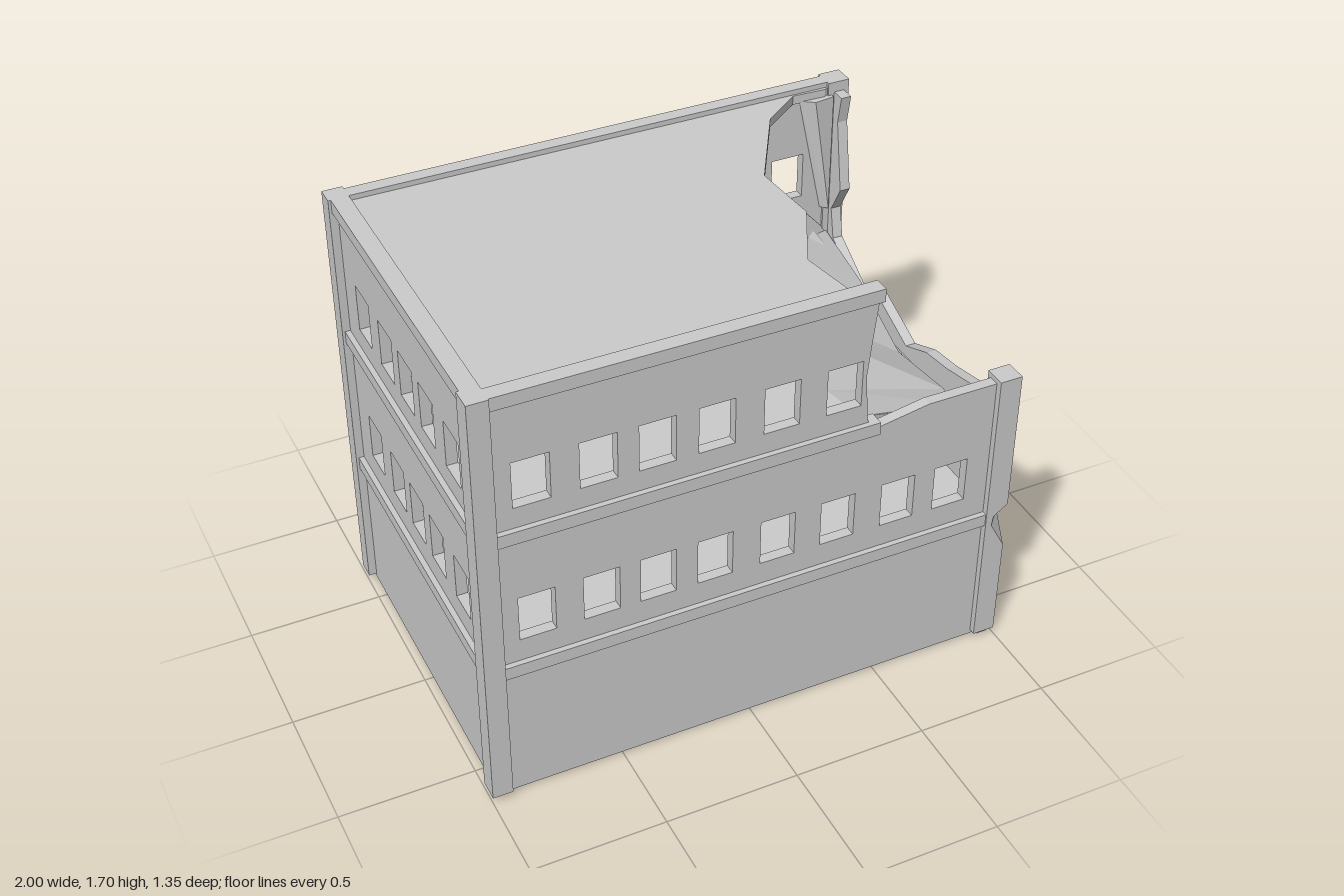
import * as THREE from 'three';
import { ConvexGeometry } from 'three/addons/geometries/ConvexGeometry.js';

const mat = new THREE.MeshStandardMaterial({ color: 0xcccccc, flatShading: true, side: THREE.DoubleSide });

const FRONT_WINDOWS = [-0.795, -0.565, -0.36, -0.15, 0.085, 0.315, 0.55, 0.76];
const SIDE_WINDOWS = [0.42, 0.193, 0, -0.193, -0.42];
const ROWS = [0.685, 1.24]; // window sills
const T = 0.04; // wall thickness

export function createModel() {
  const model = new THREE.Group();

  const add = (name, geo, parent = model) => {
    const mesh = new THREE.Mesh(geo, mat);
    mesh.name = name;
    parent.add(mesh);
    return mesh;
  };

  // Box given by its limits
  const box = (name, x0, x1, y0, y1, z0, z1) => {
    add(name, new THREE.BoxGeometry(x1 - x0, y1 - y0, z1 - z0))
      .position.set((x0 + x1) / 2, (y0 + y1) / 2, (z0 + z1) / 2);
  };

  // Flat outline with optional rectangular openings, given a thickness
  const plate = (outline, holes, depth) => {
    const shape = new THREE.Shape(outline.map(p => new THREE.Vector2(...p)));
    for (const [u, y] of holes) {
      const w = 0.065, h = 0.18;
      shape.holes.push(new THREE.Path([[u - w, y], [u - w, y + h], [u + w, y + h], [u + w, y]]
        .map(p => new THREE.Vector2(...p))));
    }
    return new THREE.ExtrudeGeometry(shape, { depth, bevelEnabled: false });
  };

  // Wall facing front or back; z is its inner or rear plane
  const wallZ = (name, outline, holes, z) => add(name, plate(outline, holes, T).translate(0, 0, z));
  // Side wall, outline drawn in (z, y); x is its +x plane
  const wallX = (name, outline, holes, x) =>
    add(name, plate(outline, holes, T).rotateY(-Math.PI / 2).translate(x, 0, 0));
  // Horizontal slab, outline drawn in (x, z)
  const slab = (name, outline, top, depth) =>
    add(name, plate(outline, [], depth).rotateX(Math.PI / 2).translate(0, top, 0));

  const openings = (centres, rows) => rows.flatMap(y => centres.map(u => [u, y]));

  // Walls
  wallZ('frontWall', [
    [-0.94, 0.01], [0.93, 0.01], [0.93, 1.16], [0.65, 1.16], [0.45, 1.125], [0.42, 1.15],
    [0.41, 1.17], [0.395, 1.35], [0.41, 1.5], [0.43, 1.68], [-0.94, 1.68],
  ], [...openings(FRONT_WINDOWS, [ROWS[0]]), ...openings(FRONT_WINDOWS.slice(0, 6), [ROWS[1]])], 0.605);
  wallZ('backWall', [[-0.94, 0.01], [0.93, 0.01], [0.93, 1.68], [-0.94, 1.68]],
    openings(FRONT_WINDOWS, ROWS), -0.645);
  wallX('leftWall', [[-0.61, 0.01], [0.61, 0.01], [0.61, 1.68], [-0.61, 1.68]],
    openings(SIDE_WINDOWS, ROWS), -0.93);
  wallX('rightWall', [
    [-0.61, 0.01], [0.61, 0.01], [0.61, 1.14], [0.58, 1.1], [0.47, 1.03], [0.3, 0.99], [0.16, 0.97],
    [0.02, 0.91], [-0.2, 1.0], [-0.35, 0.93], [-0.55, 1.05], [-0.575, 1.17], [-0.515, 1.28],
    [-0.56, 1.55], [-0.54, 1.66], [-0.61, 1.66],
  ], openings(SIDE_WINDOWS, [ROWS[0]]), 0.98);

  // String courses and parapets
  const bands = [[0.545, 0.595, 0.92], [1.11, 1.16, 0.45], [1.65, 1.7, 0.435]];
  for (const [y0, y1, frontEnd] of bands) {
    box('frontBand', -0.93, frontEnd, y0, y1, 0.608, 0.665);
    box('backBand', -0.93, 0.92, y0, y1, -0.66, -0.608);
    box('leftBand', -0.99, -0.925, y0, y1, -0.61, 0.61);
  }
  box('rightBand', 0.945, 0.99, 0.545, 0.595, -0.61, 0.61);

  // Corner pillars, stacked from [height, corner chip] rings
  const pillar = (name, x0, x1, z0, z1, rings) => {
    const group = new THREE.Group();
    group.name = name;
    // x1 and z1 are the outer faces, where the corner is chipped
    const ring = ([y, c]) => [[x0, z0], [x1, z0], [x0, z1],
      [x1 - Math.sign(x1) * c, z1], [x1, z1 - Math.sign(z1) * c]]
      .map(([x, z]) => new THREE.Vector3(x, y, z));
    for (let i = 1; i < rings.length; i++) {
      add('pillarBlock', new ConvexGeometry([...ring(rings[i - 1]), ...ring(rings[i])]), group);
    }
    model.add(group);
  };
  pillar('frontLeftPillar', -0.925, -1, 0.59, 0.67, [[0.025, 0], [1.7, 0]]);
  pillar('backLeftPillar', -0.925, -1, -0.605, -0.675, [[0.025, 0], [1.7, 0]]);
  pillar('brokenFrontPillar', 0.915, 1, 0.588, 0.67,
    [[0.025, 0], [0.43, 0], [0.54, 0.06], [0.58, 0.055], [0.62, 0], [1.18, 0]]);
  pillar('chippedBackPillar', 0.915, 1, -0.595, -0.675,
    [[0.025, 0], [0.15, 0], [0.165, 0.05], [0.3, 0.035], [0.37, 0], [1.22, 0],
      [1.24, 0.03], [1.45, 0.01], [1.55, 0], [1.7, 0]]);
  box('pillarStub', 0.94, 0.98, 0.005, 0.03, 0.63, 0.655);

  // Intact floors
  box('groundSlab', -0.95, 0.96, 0, 0.03, -0.62, 0.62);
  box('middleFloor', -0.94, 0.95, 0.55, 0.59, -0.61, 0.61);

  // Roof with the collapsed corner missing
  slab('roof', [[-0.94, -0.61], [0.93, -0.61], [0.9, -0.595], [0.77, -0.6], [0.62, -0.49], [0.42, -0.15],
    [0.44, 0.12], [0.305, 0.38], [0.345, 0.61], [-0.94, 0.61]], 1.68, 0.035);

  // Upper floor up to its fold, then the part that sags to the right
  const fold = [[0.41, 0.6], [0.375, 0.42], [0.52, 0.15], [0.5, -0.08], [0.65, -0.42], [0.85, -0.6]];
  slab('upperFloor', [[-0.94, 0.61], ...fold, [0.85, -0.61], [-0.94, -0.61]], 1.155, 0.04);

  const edge = [[0.7, 1.06, 0.555], [0.82, 1.03, 0.53], [0.86, 1.0, 0.41],
    [0.84, 0.985, 0.13], [0.92, 1.015, -0.3], [0.935, 1.06, -0.6]];
  const sections = fold.map(([x, z], i) => {
    const [ex, ey, ez] = edge[i];
    return [[x, 1.155, z], [ex, ey, ez], [ex, ey - 0.03, ez], [x, 1.115, z]];
  });
  const tri = [];
  const quad = (a, b, c, d) => tri.push(...a, ...b, ...c, ...a, ...c, ...d);
  for (let i = 1; i < sections.length; i++) {
    for (let k = 0; k < 4; k++) {
      const n = (k + 1) % 4;
      quad(sections[i - 1][k], sections[i - 1][n], sections[i][n], sections[i][k]);
    }
  }
  quad(...[...sections[0]].reverse());
  quad(...sections[sections.length - 1]);
  const sag = new THREE.BufferGeometry();
  sag.setAttribute('position', new THREE.Float32BufferAttribute(tri, 3));
  sag.computeVertexNormals();
  add('saggingFloor', sag);

  // Splinter of wall left in the back corner
  add('wallSplinter', new ConvexGeometry([
    [0.8, 1.65, -0.605], [0.85, 1.65, -0.57], [0.93, 1.65, -0.605], [0.93, 1.65, -0.58],
    [0.905, 1.17, -0.605], [0.93, 1.17, -0.58],
  ].map(p => new THREE.Vector3(...p))));

  return model;
}
